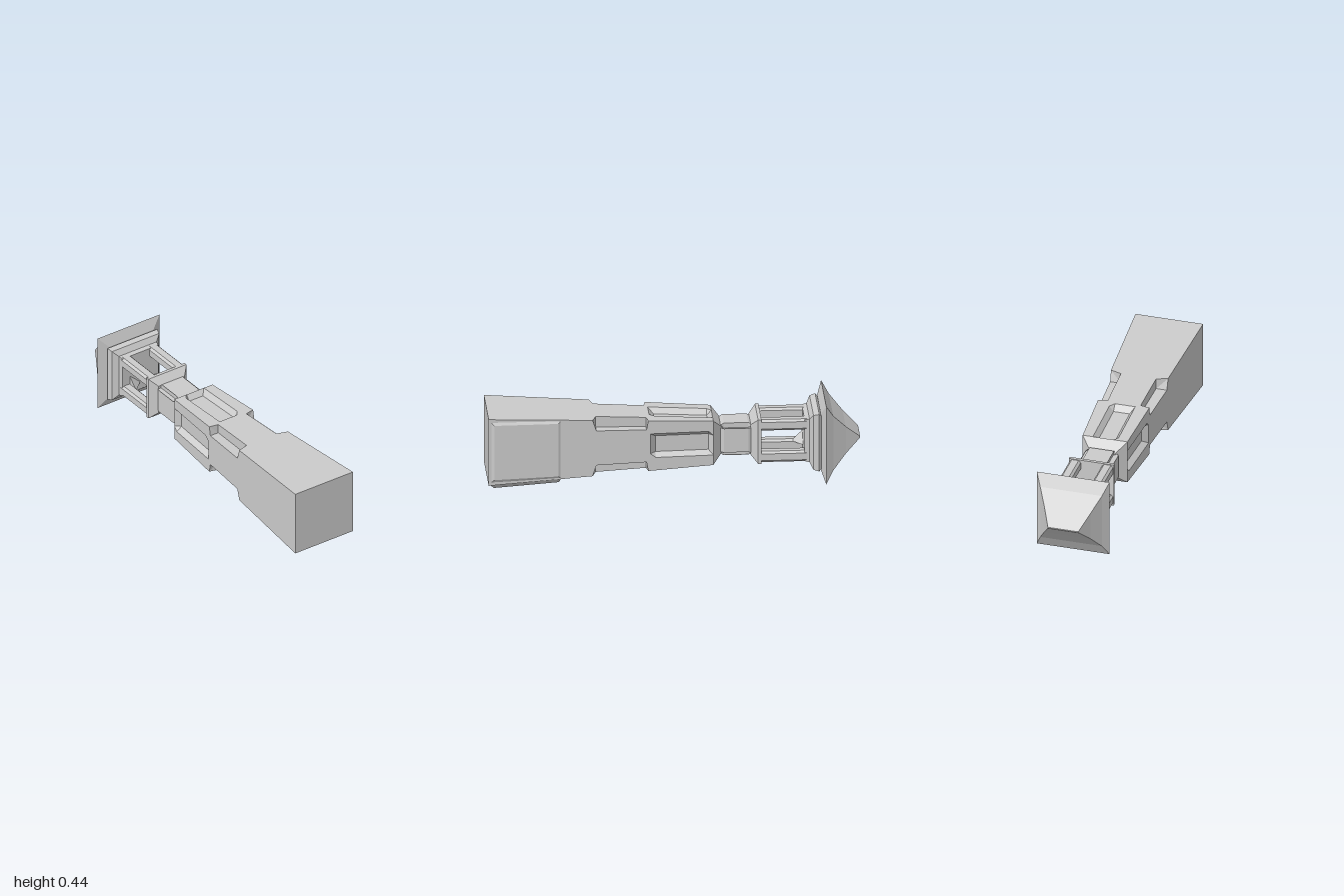
import * as THREE from 'three';
import { ConvexGeometry } from 'three/addons/geometries/ConvexGeometry.js';

const AXIS_Y = 0.225; // height of the tower's long axis, which lies along z

const material = new THREE.MeshStandardMaterial({ color: 0xcccccc, flatShading: true });

// Skins cross-sections { z, pts } ordered from +z to -z; pts run anticlockwise seen from +z
function loft(sections) {
  const pos = [];
  const tri = (a, b, c) => {
    const ab = b.clone().sub(a), ac = c.clone().sub(a);
    if (ab.cross(ac).length() > 1e-9) for (const p of [a, b, c]) pos.push(p.x, p.y, p.z);
  };
  const rings = sections.map(s => s.pts.map(([x, y]) => new THREE.Vector3(x, y, s.z)));
  const n = rings[0].length;
  for (let i = 0; i < rings.length - 1; i++) {
    for (let j = 0; j < n; j++) {
      const k = (j + 1) % n;
      const a = rings[i][j], b = rings[i][k], c = rings[i + 1][k], d = rings[i + 1][j];
      tri(a, d, b);
      tri(b, d, c);
    }
  }
  // end caps
  const first = rings[0], last = rings[rings.length - 1];
  const c0 = new THREE.Vector3(0, 0, sections[0].z);
  const c1 = new THREE.Vector3(0, 0, sections[sections.length - 1].z);
  for (let j = 0; j < n; j++) {
    const k = (j + 1) % n;
    tri(c0, first[j], first[k]);
    tri(c1, last[k], last[j]);
  }
  const g = new THREE.BufferGeometry();
  g.setAttribute('position', new THREE.Float32BufferAttribute(pos, 3));
  g.computeVertexNormals();
  return g;
}

// Square section of half-width h with corner notches and a groove in each face
function notched(z, h, notch = 0, depth = 0) {
  const quarter = [
    [h, -(h - notch)], [h, -0.068], [h - depth, -0.045], [h - depth, 0.045],
    [h, 0.068], [h, h - notch], [h - notch, h - notch],
  ];
  const pts = [];
  for (let q = 0; q < 4; q++) {
    for (const [x, y] of quarter) pts.push([[x, y], [-y, x], [-x, -y], [y, -x]][q]);
  }
  return { z, pts };
}

const rect = (z, hx, hy = hx) => ({ z, pts: [[hx, -hy], [hx, hy], [-hx, hy], [-hx, -hy]] });

// Square section with cut corners
const chamfered = (z, h, c) => ({
  z,
  pts: [[h, c - h], [h, h - c], [h - c, h], [c - h, h], [-h, h - c], [-h, c - h], [c - h, -h], [h - c, -h]],
});

const convex = pts => new ConvexGeometry(pts.map(p => new THREE.Vector3(...p)));

export function createModel() {
  const model = new THREE.Group();
  const tower = new THREE.Group();
  tower.name = 'tower';
  tower.position.y = AXIS_Y;
  model.add(tower);

  const add = (name, geometry, parent = tower) => {
    const mesh = new THREE.Mesh(geometry, material);
    mesh.name = name;
    parent.add(mesh);
    return mesh;
  };

  // Tapered shaft: plain base, notched corners, then grooved faces
  const half = z => 0.125 + (z + 0.21) / 1.21 * 0.064;
  add('shaft', loft([
    notched(1, half(1)),
    notched(0.44, half(0.44)),
    notched(0.42, half(0.42), 0.06),
    notched(0.15, half(0.15), 0.052),
    notched(0.14, half(0.14)),
    notched(0.13, half(0.13)),
    notched(0.10, half(0.10), 0, 0.03),
    notched(-0.185, half(-0.185), 0, 0.03),
    notched(-0.21, half(-0.21)),
  ]));

  // Raised panels on the base
  const panel = [];
  for (const s of [-1, 1]) {
    panel.push([0.189, s * 0.17, 0.985], [0.166, s * 0.165, 0.61]);
    panel.push([0.196, s * 0.155, 0.97], [0.176, s * 0.15, 0.625]);
  }
  add('sidePanel', convex(panel));
  const slab = [];
  for (const s of [-1, 1]) {
    slab.push([s * 0.185, -0.185, 0.995], [s * 0.166, -0.165, 0.61]);
    slab.push([s * 0.165, -0.211, 0.97], [s * 0.15, -0.192, 0.62]);
  }
  add('undersidePanel', convex(slab));

  // Sloping shoulder and ribbed neck
  add('shoulder', loft([rect(-0.21, 0.125), rect(-0.262, 0.07)]));
  add('neck', loft([
    notched(-0.235, 0.07),
    notched(-0.27, 0.092, 0.03),
    notched(-0.40, 0.092, 0.03),
    notched(-0.43, 0.08),
  ]));

  // Open lantern: floor plate, four chamfered posts and a ceiling plate
  const lantern = new THREE.Group();
  lantern.name = 'lantern';
  tower.add(lantern);
  add('lanternFloor', loft([
    rect(-0.412, 0.085), rect(-0.45, 0.125), rect(-0.468, 0.125),
  ]), lantern);
  for (const sx of [-1, 1]) {
    for (const sy of [-1, 1]) {
      const post = add('lanternPost', loft([
        chamfered(-0.46, 0.031, 0.012), chamfered(-0.72, 0.031, 0.012),
      ]), lantern);
      post.position.set(sx * 0.09, sy * 0.09, 0);
    }
  }
  add('lanternCeiling', loft([rect(-0.70, 0.118), rect(-0.735, 0.125)]), lantern);
  add('lanternBrace', convex([
    [-0.07, -0.07, -0.64], [-0.07, -0.07, -0.71], [0.01, -0.07, -0.71], [-0.07, 0.0, -0.71],
  ]), lantern);

  // Stepped collar under the roof
  add('collar', loft([
    rect(-0.725, 0.122),
    rect(-0.745, 0.155),
    rect(-0.775, 0.163),
    rect(-0.80, 0.14),
  ]));

  // Flared roof rising to a ridge
  add('roof', loft([
    rect(-0.785, 0.145, 0.16),
    rect(-0.81, 0.203, 0.222),
    rect(-0.85, 0.172, 0.155),
    rect(-0.92, 0.128, 0.077),
    rect(-1, 0.085, 0.003),
  ]));

  return model;
}
